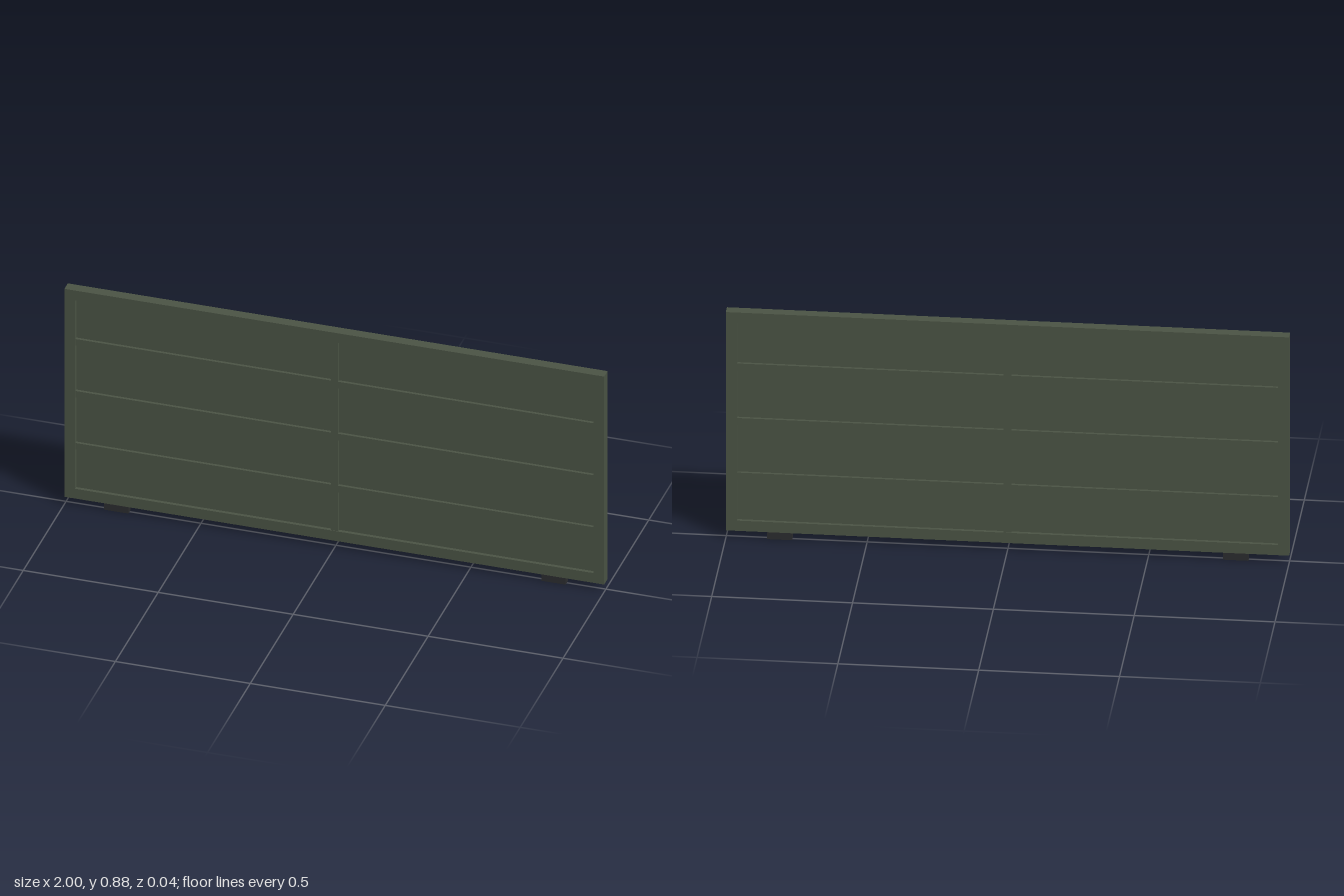
import * as THREE from 'three';

export function createModel() {
  const group = new THREE.Group();
  group.name = 'panelledScreen';
  const green = new THREE.MeshStandardMaterial({ name: 'olive green', color: 0x4a5344 });
  const dark = new THREE.MeshStandardMaterial({ name: 'dark rubber', color: 0x2b2c2e });

  const box = (name, w, h, d, x, y, material = green) => {
    const mesh = new THREE.Mesh(new THREE.BoxGeometry(w, h, d), material);
    mesh.name = name;
    mesh.position.set(x, y, 0);
    group.add(mesh);
  };

  const bottom = 0.03, top = 0.885, border = 0.04;
  const height = top - bottom, mid = (top + bottom) / 2;

  // Outer frame, one extruded ring with a rectangular opening
  const rect = (Type, w, h) => new Type([
    new THREE.Vector2(-w, -h), new THREE.Vector2(w, -h),
    new THREE.Vector2(w, h), new THREE.Vector2(-w, h),
  ]);
  const ring = rect(THREE.Shape, 1, height / 2);
  ring.holes.push(rect(THREE.Path, 1 - border, height / 2 - border));
  const frameGeometry = new THREE.ExtrudeGeometry(ring, { depth: 0.04, bevelEnabled: false });
  frameGeometry.translate(0, mid, -0.02);
  const frame = new THREE.Mesh(frameGeometry, green);
  frame.name = 'frame';
  group.add(frame);

  // Recessed infill panel, seen from both sides
  box('infillPanel', 2 - 2 * border, height - 2 * border, 0.014, 0, mid);

  // Centre post and three rails, split at the post
  const bar = 0.027, barDepth = 0.036;
  box('centrePost', bar, height - 2 * border, barDepth, 0, mid);
  const railLength = 1 - border - bar / 2;
  for (let i = 1; i <= 3; i++) {
    for (const side of [-1, 1]) {
      box('rail', railLength, bar, barDepth, side * (bar + railLength) / 2, bottom + height * i / 4);
    }
  }

  // Feet
  for (const side of [-1, 1]) box('foot', 0.09, bottom, 0.028, side * 0.81, bottom / 2, dark);

  return group;
}
